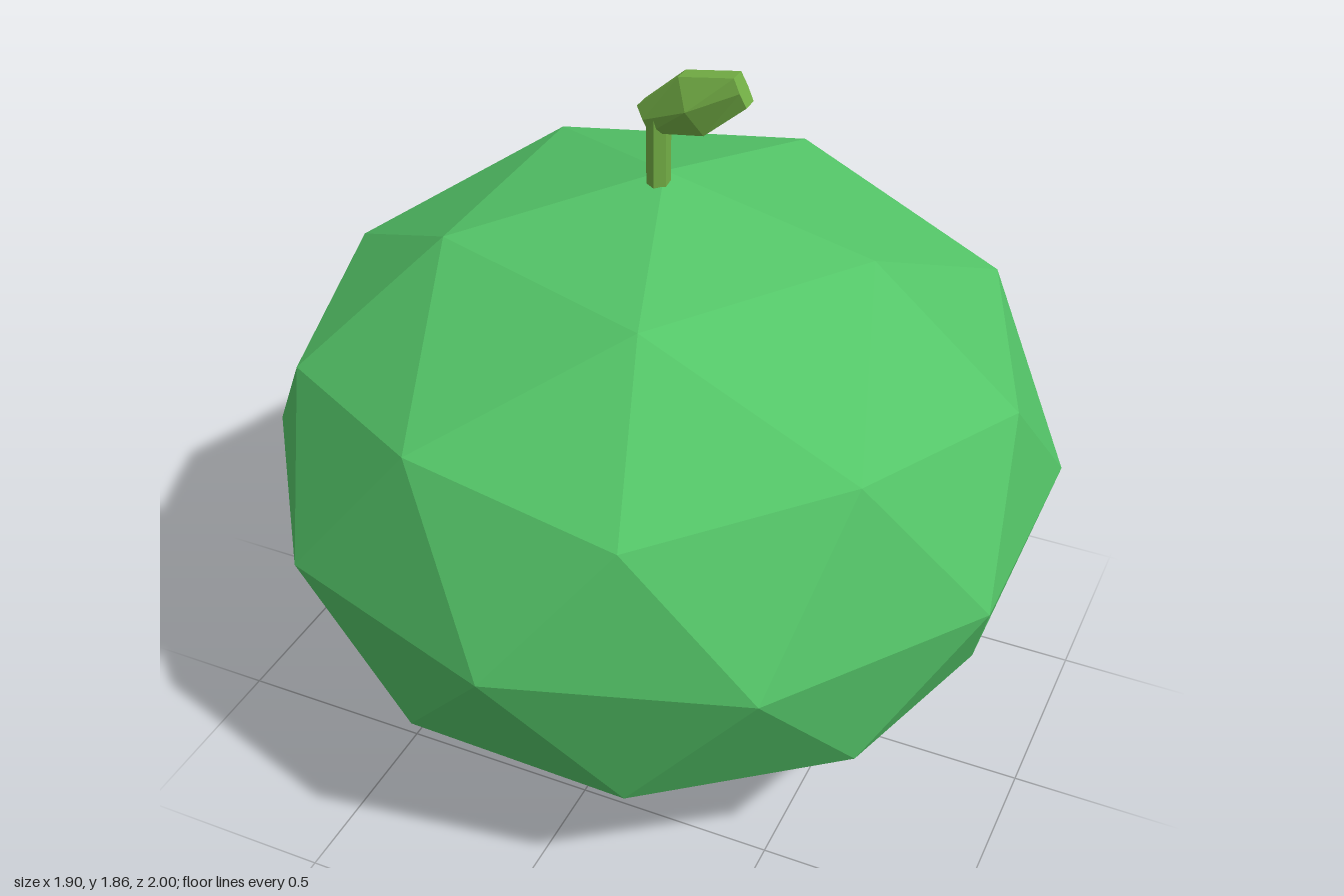
import * as THREE from 'three';

const flat = (name, color) => {
  const m = new THREE.MeshStandardMaterial({ color, flatShading: true });
  m.name = name;
  return m;
};

// Lens-shaped leaf: hexagonal sections [along, half height, half width] lofted along x
function leafGeometry() {
  const sections = [[-0.131, 0.035, 0.024], [0, 0.074, 0.055], [0.131, 0.037, 0.024]];
  const rim = 0.021, pos = [], idx = [];
  for (const [x, h, w] of sections) {
    for (const [y, z] of [[h, rim], [0, w], [-h, rim], [-h, -rim], [0, -w], [h, -rim]]) pos.push(x, y, z);
  }
  for (let s = 0; s < 2; s++) {
    for (let i = 0; i < 6; i++) {
      const a = s * 6 + i, b = s * 6 + (i + 1) % 6;
      idx.push(a, b, a + 6, b, b + 6, a + 6);
    }
  }
  for (let i = 1; i < 5; i++) idx.push(0, i + 1, i, 12, 12 + i, 13 + i);
  const g = new THREE.BufferGeometry();
  g.setAttribute('position', new THREE.Float32BufferAttribute(pos, 3));
  g.setIndex(idx);
  const out = g.toNonIndexed();
  out.computeVertexNormals();
  return out;
}

// Octagonal patch wrapped on the faceted body, facing -z
function eyeGeometry(body, cx, cy, rx, ry) {
  const rings = 10, segs = 32, pos = [], idx = [];
  const ray = new THREE.Raycaster();
  const project = (x, y) => {
    ray.set(new THREE.Vector3(x, y, -3), new THREE.Vector3(0, 0, 1));
    const hit = ray.intersectObject(body)[0];
    const p = hit.point.addScaledVector(hit.face.normal, 0.007);
    pos.push(p.x, p.y, p.z);
  };
  project(cx, cy);
  for (let r = 1; r <= rings; r++) {
    for (let i = 0; i < segs; i++) {
      const a = (i / segs) * Math.PI * 2;
      const step = Math.PI / 4;
      const off = ((a + step / 2) % step) - step / 2;
      const k = (r / rings) * Math.cos(step / 2) / Math.cos(Math.abs(off) - step / 2 + step / 2);
      project(cx + Math.cos(a) * rx * k, cy + Math.sin(a) * ry * k);
    }
  }
  for (let i = 0; i < segs; i++) {
    const j = (i + 1) % segs;
    idx.push(0, 1 + j, 1 + i);
    for (let r = 0; r < rings - 1; r++) {
      const a = 1 + r * segs + i, b = 1 + r * segs + j;
      idx.push(a, b, a + segs, b, b + segs, a + segs);
    }
  }
  const g = new THREE.BufferGeometry();
  g.setAttribute('position', new THREE.Float32BufferAttribute(pos, 3));
  g.setIndex(idx);
  g.computeVertexNormals();
  return g;
}

export function createModel() {
  const group = new THREE.Group();
  const skin = flat('skin green', 0x54c568);
  const plant = flat('leaf green', 0x74b046);
  const black = flat('eye black', 0x0a0a0a);
  black.side = THREE.DoubleSide;
  const glint = flat('glint grey', 0xcccccc);

  const add = (name, geometry, material, x = 0, y = 0, z = 0) => {
    const mesh = new THREE.Mesh(geometry, material);
    mesh.name = name;
    mesh.position.set(x, y, z);
    group.add(mesh);
    return mesh;
  };

  // Squashed faceted ball with a corner pointing straight up
  const ball = new THREE.IcosahedronGeometry(1, 1);
  ball.rotateZ(-Math.atan(2 / (1 + Math.sqrt(5))));
  ball.scale(1, 0.78, 1);
  ball.translate(0, 0.78, 0);
  ball.computeVertexNormals();
  const body = add('body', ball, skin);

  // Stem and leaf
  add('stem', new THREE.CylinderGeometry(0.029, 0.029, 0.22, 6), plant, 0, 1.61, 0.035);
  add('leaf', leafGeometry(), plant, 0.088, 1.766, 0.033).rotation.z = 0.44;

  // Eyes on the back side, each with a small round glint
  const eyes = [['leftEye', 0.362, 1.01, 0.092, 0.108, 0.31], ['rightEye', -0.345, 1.01, 0.105, 0.125, -0.235]];
  for (const [name, x, y, rx, ry, gx] of eyes) {
    add(name, eyeGeometry(body, x, y, rx, ry), black);
    add(name + 'Glint', new THREE.IcosahedronGeometry(0.033, 1), glint, gx, 1.04, -0.887);
  }
  return group;
}
